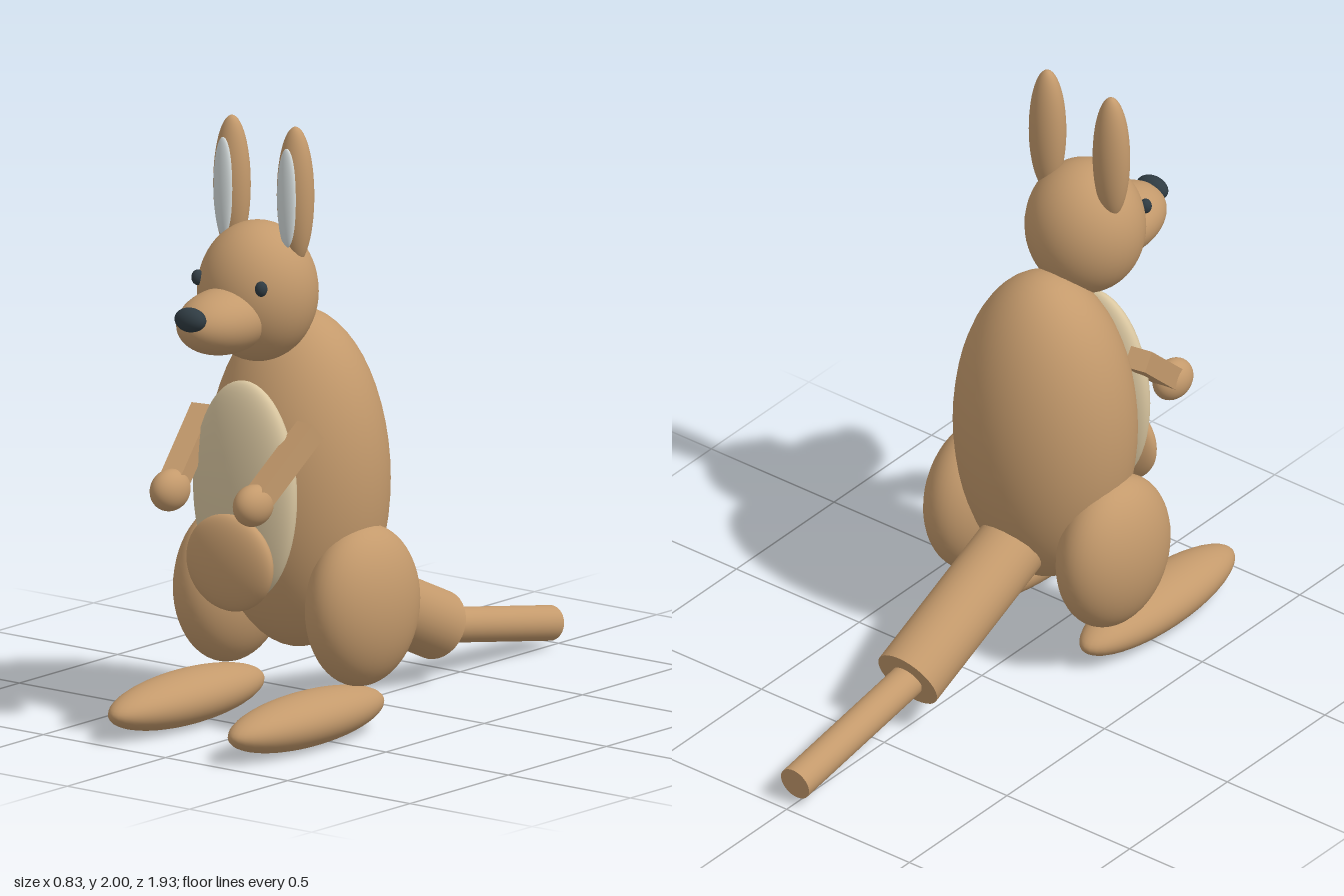
import * as THREE from 'three';

export function createModel() {
  const model = new THREE.Group();
  const paint = (color) => new THREE.MeshStandardMaterial({ color });
  const fur = paint(0xc49a6c);
  const cream = paint(0xd9c6a0);
  const pale = paint(0xd5dcdc);
  const dark = paint(0x2f3b42);
  const ball = new THREE.SphereGeometry(1, 40, 28);

  function add(name, geometry, material) {
    const mesh = new THREE.Mesh(geometry, material);
    mesh.name = name;
    model.add(mesh);
    return mesh;
  }

  // Ellipsoid from centre and three radii
  function egg(name, material, centre, radii) {
    const mesh = add(name, ball, material);
    mesh.position.set(...centre);
    mesh.scale.set(...radii);
    return mesh;
  }

  // Solid stretched from a to b, its geometry lying along local z
  function span(name, a, b, makeGeometry) {
    const from = new THREE.Vector3(...a);
    const to = new THREE.Vector3(...b);
    const mesh = add(name, makeGeometry(from.distanceTo(to)), fur);
    mesh.position.copy(from).lerp(to, 0.5);
    mesh.lookAt(to);
    return mesh;
  }

  const rod = (radius) => (length) =>
    new THREE.CylinderGeometry(radius, radius, length, 32).rotateX(Math.PI / 2);

  // Trunk
  egg('body', fur, [0, 0.803, 0.325], [0.305, 0.555, 0.28]);
  egg('belly', cream, [0, 0.805, 0.595], [0.205, 0.36, 0.073]);
  egg('pouch', fur, [0, 0.583, 0.672], [0.173, 0.158, 0.056]);

  // Head
  egg('head', fur, [0, 1.45, 0.53], [0.196, 0.228, 0.192]);
  egg('snout', fur, [0, 1.382, 0.7], [0.126, 0.107, 0.19]);
  egg('nose', dark, [0, 1.416, 0.873], [0.058, 0.04, 0.038]);

  // Paired parts
  for (const [side, s] of [['left', 1], ['right', -1]]) {
    egg(side + 'Eye', dark, [0.13 * s, 1.5, 0.675], [0.02, 0.025, 0.02]);
    egg(side + 'Ear', fur, [0.13 * s, 1.775, 0.5], [0.063, 0.225, 0.055]);
    egg(side + 'InnerEar', pale, [0.13 * s, 1.773, 0.545], [0.037, 0.163, 0.018]);

    span(side + 'Arm', [0.215 * s, 1.025, 0.53], [0.17 * s, 0.812, 0.765],
      (length) => new THREE.BoxGeometry(0.075, 0.07, length));
    egg(side + 'Paw', fur, [0.17 * s, 0.813, 0.765], [0.056, 0.068, 0.078]);

    egg(side + 'Thigh', fur, [0.27 * s, 0.422, 0.333], [0.145, 0.263, 0.232]);
    egg(side + 'Foot', fur, [0.245 * s, 0.092, 0.59], [0.114, 0.087, 0.373]);
  }

  // Tail in two straight sections
  span('tailBase', [0, 0.443, 0.2], [0, 0.183, -0.38], rod(0.114));
  span('tailTip', [0, 0.181, -0.38], [0, 0.08, -0.957], rod(0.057));

  return model;
}
